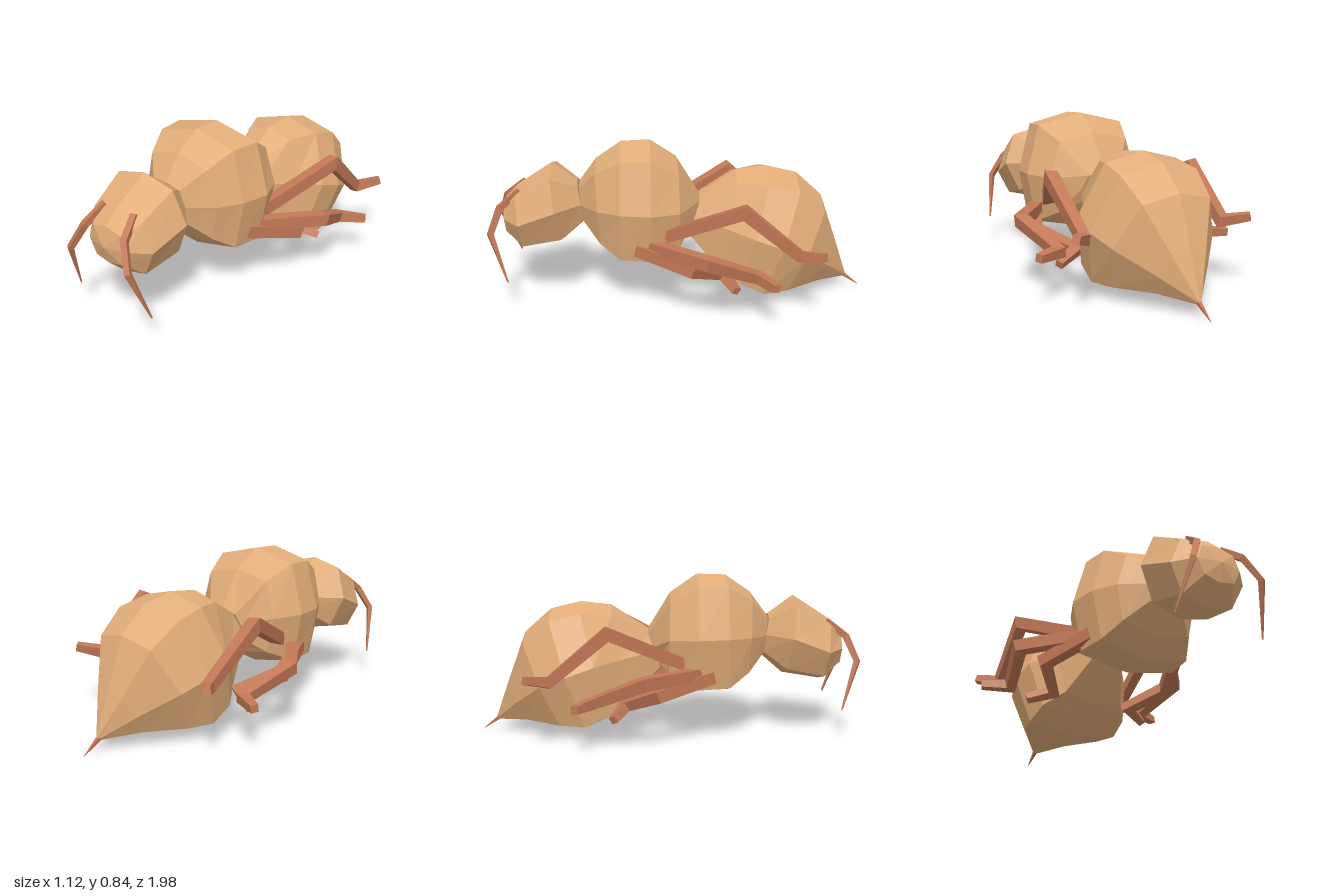
import * as THREE from 'three';

const V = (x, y, z) => new THREE.Vector3(x, y, z);
const shell = new THREE.MeshStandardMaterial({ color: 0xe2ad79, flatShading: true });
const limb = new THREE.MeshStandardMaterial({ color: 0xc27856, flatShading: true });

// Faceted skin through rings of points, closed at both ends by fans
function loft(name, rings, material, startTip) {
  const pos = [];
  const tri = (...pts) => pts.forEach(p => pos.push(p.x, p.y, p.z));
  const centre = ring => ring.reduce((s, p) => s.add(p), V(0, 0, 0)).divideScalar(ring.length);
  const n = rings[0].length, last = rings[rings.length - 1];
  const a = startTip || centre(rings[0]), b = centre(last);
  for (let j = 0; j < n; j++) {
    const k = (j + 1) % n;
    tri(a, rings[0][k], rings[0][j]);
    for (let i = 0; i + 1 < rings.length; i++) {
      const p = rings[i], q = rings[i + 1];
      tri(p[j], p[k], q[j]);
      tri(p[k], q[k], q[j]);
    }
    tri(b, last[j], last[k]);
  }
  const geo = new THREE.BufferGeometry();
  geo.setAttribute('position', new THREE.Float32BufferAttribute(pos, 3));
  geo.computeVertexNormals();
  const mesh = new THREE.Mesh(geo, material);
  mesh.name = name;
  return mesh;
}

// Eight-sided body ring: top z, top y, bottom z, bottom y, half width.
// The corner factors (upper x, lower x, y) make the section squarer than a plain octagon.
function bodyRings(sections, upper, lower, ky) {
  const xs = [0, upper, 1, lower, 0, -lower, -1, -upper];
  const ys = [1, ky, 0, -ky, -1, -ky, 0, ky];
  return sections.map(([zt, yt, zb, yb, w]) => xs.map((x, i) =>
    V(x * w, (yt + yb) / 2 + ys[i] * (yt - yb) / 2, (zt + zb) / 2 + ys[i] * (zt - zb) / 2)));
}

// Square limb along a bent path, mitred at every joint and tapered by widths
function squareLimb(name, path, widths) {
  const dirs = path.slice(1).map((p, i) => p.clone().sub(path[i]).normalize());
  const u = V(0, 1, 0).addScaledVector(dirs[0], -dirs[0].y).normalize();
  const v = dirs[0].clone().cross(u);
  let offsets = [[1, 1], [-1, 1], [-1, -1], [1, -1]].map(([a, b]) =>
    u.clone().multiplyScalar(a / 2).addScaledVector(v, b / 2));
  const rings = path.map((p, i) => {
    if (i > 0) {
      const d = dirs[i - 1];
      const plane = d.clone().add(dirs[i] || d).normalize();
      offsets = offsets.map(o => o.clone().addScaledVector(d, -o.dot(plane) / d.dot(plane)));
    }
    return offsets.map(o => p.clone().addScaledVector(o, widths[i]));
  });
  return loft(name, rings, limb);
}

export function createModel() {
  const group = new THREE.Group();
  group.name = 'insect';

  // Body
  const head = bodyRings([
    [0.915, 0.55, 0.915, 0.367, 0.12],
    [0.85, 0.615, 0.82, 0.283, 0.205],
    [0.67, 0.73, 0.62, 0.315, 0.235],
    [0.54, 0.635, 0.50, 0.42, 0.11],
  ], 0.74, 0.68, 0.8);
  group.add(loft('head', head, shell, V(0, 0.458, 0.942)));

  const thorax = bodyRings([
    [0.53, 0.63, 0.51, 0.42, 0.11],
    [0.44, 0.75, 0.42, 0.305, 0.23],
    [0.31, 0.838, 0.32, 0.22, 0.30],
    [0.16, 0.842, 0.16, 0.213, 0.325],
    [0.02, 0.745, 0.01, 0.295, 0.26],
    [-0.1, 0.55, -0.04, 0.38, 0.12],
  ], 0.78, 0.84, 0.82);
  group.add(loft('thorax', thorax, shell));

  // Abdomen rings lean back at the top, so the bag droops to its tip
  const abdomen = bodyRings([
    [-0.09, 0.55, -0.03, 0.34, 0.11],
    [-0.29, 0.68, -0.18, 0.15, 0.21],
    [-0.45, 0.698, -0.28, 0.085, 0.31],
    [-0.61, 0.66, -0.40, 0.027, 0.327],
    [-0.75, 0.535, -0.53, 0.04, 0.285],
    [-0.84, 0.29, -0.73, 0.065, 0.14],
    [-0.915, 0.075, -0.90, 0.06, 0.008],
  ], 0.66, 0.81, 0.84);
  group.add(loft('abdomen', abdomen, shell));
  group.add(squareLimb('sting', [V(0, 0.072, -0.9), V(0, 0.006, -0.99)], [0.02, 0.002]));

  // Limbs: path on the model's left, mirrored to its right
  const legWidths = [0.062, 0.062, 0.052, 0.038];
  const limbs = [
    ['frontLeg', [[0.25, 0.335, 0.23], [0.37, 0.265, -0.04], [0.235, 0.185, -0.21], [0.36, 0.14, -0.265]], legWidths],
    ['middleLeg', [[0.26, 0.35, 0.16], [0.485, 0.345, -0.11], [0.415, 0.235, -0.37], [0.55, 0.235, -0.435]], legWidths],
    ['hindLeg', [[0.24, 0.40, 0.08], [0.41, 0.575, -0.29], [0.395, 0.335, -0.575], [0.49, 0.365, -0.675]], legWidths],
    ['antenna', [[0.095, 0.605, 0.83], [0.13, 0.525, 0.93], [0.19, 0.405, 0.975], [0.24, 0.16, 0.895]], [0.03, 0.03, 0.026, 0.006]],
  ];
  for (const [name, path, widths] of limbs)
    for (const [side, s] of [['Left', 1], ['Right', -1]])
      group.add(squareLimb(name + side, path.map(([x, y, z]) => V(s * x, y, z)), widths));

  return group;
}
